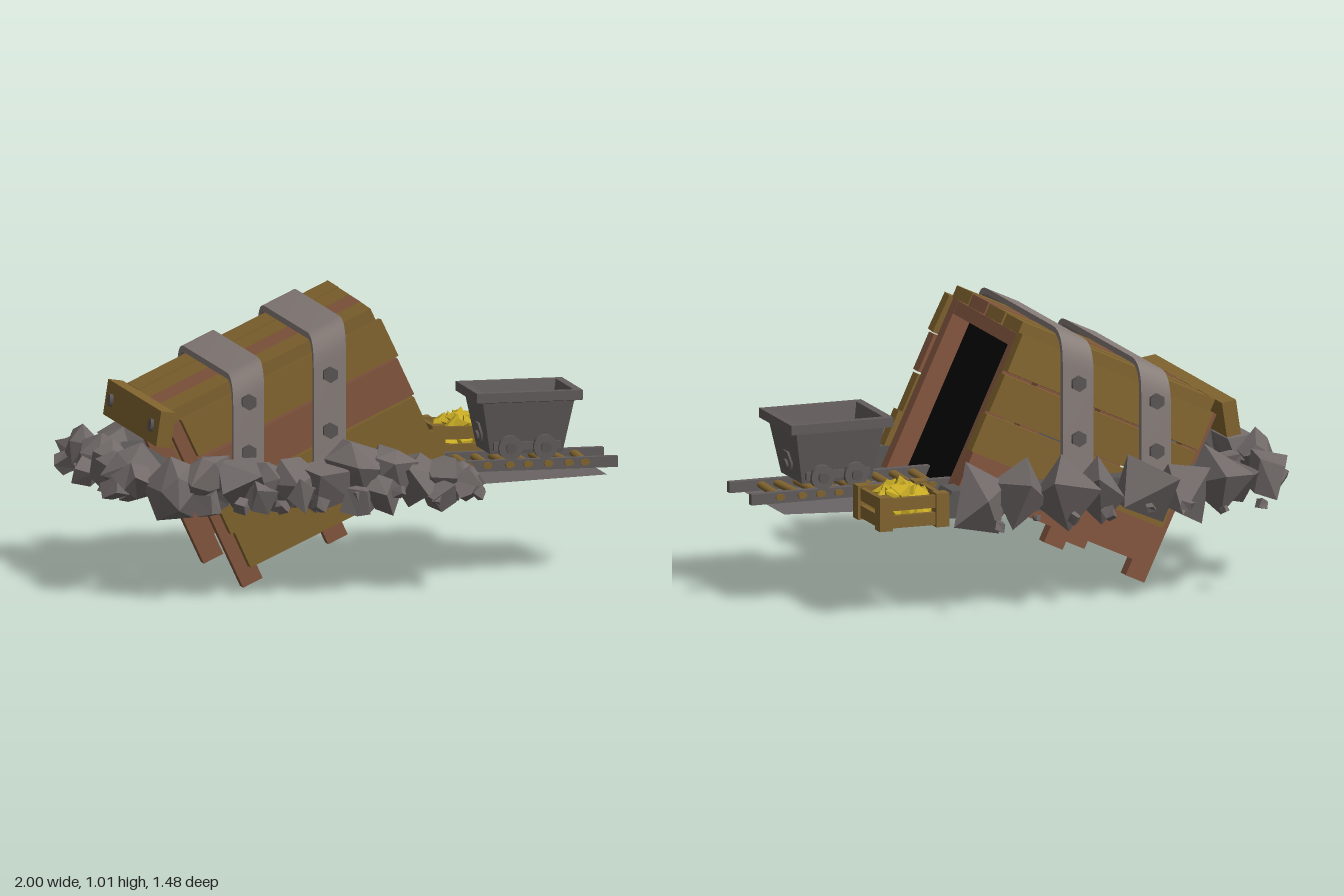
import * as THREE from 'three';
import { toCreasedNormals } from 'three/addons/utils/BufferGeometryUtils.js';

const mat = (name, color, side = THREE.FrontSide) => {
  const m = new THREE.MeshStandardMaterial({ color, side });
  m.name = name;
  return m;
};

export function createModel() {
  const M = {
    oak: mat('golden wood', 0x826530),
    red: mat('reddish wood', 0x85573f),
    strap: mat('strap metal', 0x887e7a),
    bolt: mat('bolt metal', 0x5c5656),
    iron: mat('cart iron', 0x625c5c),
    rock: mat('rock', 0x716a69),
    base: mat('ground stone', 0x6a6465, THREE.DoubleSide),
    curb: mat('dark stone', 0x5a5656),
    gold: mat('gold ore', 0xc9ac24),
    dark: mat('darkness', 0x050505, THREE.DoubleSide),
  };
  let seed = 7;
  const rnd = () => (seed = (seed * 16807) % 2147483647) / 2147483647;
  const jit = (a) => (rnd() - 0.5) * 2 * a;
  const CZ = 0.03; // centre line of shaft, rails and cart

  const model = new THREE.Group();
  model.name = 'mineEntrance';
  const add = (parent, name, geo, m, x = 0, y = 0, z = 0) => {
    const o = new THREE.Mesh(geo, m);
    o.name = name;
    o.position.set(x, y, z);
    parent.add(o);
    return o;
  };
  const box = (parent, name, m, w, h, d, x, y, z) =>
    add(parent, name, new THREE.BoxGeometry(w, h, d), m, x, y, z);
  const group = (name, x, y, z) => {
    const g = new THREE.Group();
    g.name = name;
    g.position.set(x, y, z);
    model.add(g);
    return g;
  };
  // Irregular faceted lump: solid is nudged at each shared corner, then turned
  const lump = (parent, name, m, solid, r, x, y, z, tilt = 1.5) => {
    const g = solid.index ? solid.toNonIndexed() : solid;
    const p = g.attributes.position, moved = {};
    for (let i = 0; i < p.count; i++) {
      const v = new THREE.Vector3().fromBufferAttribute(p, i);
      const k = v.toArray().map((c) => Math.round(c * 1000)).join();
      moved[k] ??= [jit(r * 0.24), jit(r * 0.24), jit(r * 0.24)];
      p.setXYZ(i, v.x + moved[k][0], v.y + moved[k][1], v.z + moved[k][2]);
    }
    g.rotateX(jit(tilt)).rotateZ(jit(tilt)).rotateY(jit(3));
    g.computeVertexNormals();
    return add(parent, name, g, m, x, y, z);
  };

  // Tilted shaft: local origin is the top front edge
  const shaft = group('shaft', 0.03, 1.01, CZ);
  shaft.rotation.z = THREE.MathUtils.degToRad(25);
  for (const u of [-0.05, -0.47, -0.82]) {
    for (const s of [1, -1]) box(shaft, 'post', M.red, 0.08, 0.665, 0.05, u, -0.3825, s * 0.3);
    box(shaft, 'lintel', M.red, 0.078, 0.05, 0.55, u, -0.076, 0);
  }
  const roofZ = [0.25, 0.085, -0.085, -0.265];
  roofZ.forEach((z, i) => {
    const o = box(shaft, 'roofPlank', i === 1 ? M.red : M.oak, 0.825, 0.047, 0.155, -0.412 + jit(0.006), -0.025, z);
    o.rotation.set(jit(0.03), jit(0.01), 0);
  });
  const wallV = [-0.118, -0.275, -0.43, -0.575];
  for (const s of [1, -1]) wallV.forEach((v, i) => {
    const m = i === (s > 0 ? 1 : 3) ? M.red : M.oak;
    const o = box(shaft, 'wallPlank', m, 0.82, 0.147, 0.05, -0.41 + jit(0.008), v, s * 0.362);
    o.rotation.set(i === 0 ? -s * 0.07 : jit(0.02), 0, jit(0.008));
  });
  const darkness = add(shaft, 'darkOpening', new THREE.PlaneGeometry(0.56, 0.65), M.dark, -0.085, -0.41, 0);
  darkness.rotation.y = Math.PI / 2;

  // Board across the rear with two bolts
  const rear = group('rearBoard', -0.755, 0.6, CZ);
  rear.rotation.z = -0.15;
  box(rear, 'board', M.oak, 0.055, 0.13, 0.81, 0, 0, 0);
  for (const z of [-0.31, 0.31]) {
    const b = add(rear, 'bolt', new THREE.CylinderGeometry(0.025, 0.025, 0.02, 6), M.bolt, -0.03, 0, z);
    b.rotation.z = Math.PI / 2;
  }

  // Metal straps bent over the roof, sheared to its slope
  const strap = (x0, x1, topY, bolts) => {
    const w = x1 - x0, low = 0.38 - topY, s = new THREE.Shape();
    s.moveTo(0.43, low).lineTo(0.43, -0.12);
    s.bezierCurveTo(0.43, -0.04, 0.4, 0, 0.33, 0).lineTo(-0.33, 0);
    s.bezierCurveTo(-0.4, 0, -0.43, -0.04, -0.43, -0.12).lineTo(-0.43, low);
    s.lineTo(-0.408, low).lineTo(-0.408, -0.12);
    s.bezierCurveTo(-0.408, -0.05, -0.385, -0.022, -0.33, -0.022).lineTo(0.33, -0.022);
    s.bezierCurveTo(0.385, -0.022, 0.408, -0.05, 0.408, -0.12).lineTo(0.408, low);
    const g = new THREE.ExtrudeGeometry(s, { depth: w, bevelEnabled: false, curveSegments: 8 });
    g.translate(0, 0, -w / 2).rotateY(Math.PI / 2);
    const p = g.attributes.position;
    for (let i = 0; i < p.count; i++) if (p.getY(i) > low + 0.01) p.setY(i, p.getY(i) + p.getX(i) * 0.466);
    const x = (x0 + x1) / 2;
    add(model, 'strap', toCreasedNormals(g, 0.6), M.strap, x, topY, CZ);
    for (const y of bolts) for (const side of [1, -1]) {
      const b = add(model, 'strapBolt', new THREE.CylinderGeometry(0.03, 0.03, 0.02, 6), M.bolt, x, y, CZ + side * 0.435);
      b.rotation.x = Math.PI / 2;
    }
  };
  strap(-0.51, -0.395, 0.817, [0.695, 0.51]);
  strap(-0.21, -0.09, 0.955, [0.785, 0.58]);

  // Stone curb around the shaft, with sloping front ends
  const shape = (pts) => new THREE.Shape(pts.map((q) => new THREE.Vector2(...q)));
  const curb = shape([[-0.74, 0.33], [0.41, 0.33], [0.35, 0.43], [-0.74, 0.43]]);
  for (const z of [0.36, -0.43])
    add(model, 'curb', new THREE.ExtrudeGeometry(curb, { depth: 0.12, bevelEnabled: false }), M.curb, 0, 0, z);
  box(model, 'rearCurb', M.curb, 0.09, 0.1, 0.67, -0.695, 0.38, 0.025);

  // Thin sheet of ground before the opening, rising slightly outwards
  const apron = shape([[0.24, -0.35], [0.4, -0.35], [0.93, -0.27], [0.93, 0.24], [0.35, 0.31], [0.24, 0.31]]);
  const sheet = add(model, 'apron', new THREE.ShapeGeometry(apron).rotateX(-Math.PI / 2), M.base, 0, 0.338, 0);
  sheet.rotation.z = 0.015;

  // Track with rounded sleepers poking through the rails
  for (const s of [1, -1]) box(model, 'rail', M.iron, 0.79, 0.04, 0.028, 0.605, 0.38, CZ + s * 0.11);
  for (let i = 0; i < 9; i++) {
    const g = new THREE.CylinderGeometry(0.018, 0.018, 0.265, 8).rotateX(Math.PI / 2).scale(1, 0.7, 1);
    add(model, 'sleeper', g, M.oak, 0.295 + i * 0.0735, 0.383, CZ).rotation.y = jit(0.06);
  }

  // Cart: tub lofted through rectangles [half x, half z, y]
  const rings = [[0.135, 0.105, 0.42], [0.17, 0.14, 0.612], [0.198, 0.163, 0.617], [0.198, 0.163, 0.652],
    [0.168, 0.133, 0.652], [0.13, 0.08, 0.48]];
  const corner = ([a, b, y], i) => [[a, y, b], [a, y, -b], [-a, y, -b], [-a, y, b]][i % 4];
  const pos = [];
  const quad = (...q) => [0, 1, 2, 0, 2, 3].forEach((k) => pos.push(...q[k]));
  for (let r = 0; r < rings.length - 1; r++) for (let i = 0; i < 4; i++)
    quad(corner(rings[r], i), corner(rings[r], i + 1), corner(rings[r + 1], i + 1), corner(rings[r + 1], i));
  const end = rings[rings.length - 1];
  quad(...[0, 1, 2, 3].map((i) => corner(end, i)));
  quad(...[3, 2, 1, 0].map((i) => corner(rings[0], i)));
  const tub = new THREE.BufferGeometry();
  tub.setAttribute('position', new THREE.Float32BufferAttribute(pos, 3));
  tub.computeVertexNormals();
  const cart = group('cart', 0.662, 0, CZ);
  add(cart, 'tub', tub, M.iron);
  for (const s of [1, -1]) {
    box(cart, 'axleBeam', M.iron, 0.25, 0.03, 0.025, 0, 0.45, s * 0.11);
    for (const x of [-0.065, 0.065]) {
      const wheel = add(cart, 'wheel', new THREE.CylinderGeometry(0.045, 0.045, 0.025, 16), M.iron, x, 0.445, s * 0.125);
      const hub = add(cart, 'hub', new THREE.CylinderGeometry(0.02, 0.02, 0.014, 10), M.bolt, x, 0.445, s * 0.142);
      wheel.rotation.x = hub.rotation.x = Math.PI / 2;
    }
    const plate = add(cart, 'endPlate', new THREE.CylinderGeometry(0.045, 0.045, 0.01, 6), M.iron, s * 0.15, 0.485, 0);
    const stud = add(cart, 'endStud', new THREE.CylinderGeometry(0.02, 0.02, 0.02, 8), M.bolt, s * 0.153, 0.475, 0);
    plate.rotation.z = stud.rotation.z = Math.PI / 2 - s * 0.16;
  }

  // Crate heaped with gold
  const crate = group('crate', 0.555, 0.4, -0.445);
  for (const a of [1, -1]) {
    for (const b of [1, -1]) box(crate, 'cratePost', M.oak, 0.05, 0.125, 0.05, a * 0.11, 0, b * 0.11);
    for (const y of [-0.032, 0.032]) {
      box(crate, 'crateSlat', M.oak, 0.2, 0.046, 0.02, 0, y, a * 0.115);
      box(crate, 'crateSlat', M.oak, 0.02, 0.046, 0.2, a * 0.115, y, 0);
    }
  }
  for (let i = 0; i < 22; i++) {
    const a = i * 2.4, r = 0.018 * Math.sqrt(i), size = 0.038 + rnd() * 0.012;
    lump(crate, 'nugget', M.gold, new THREE.OctahedronGeometry(size), size,
      r * Math.cos(a), 0.07 - r * 0.5 + jit(0.015), r * Math.sin(a));
  }
  for (let i = 0; i < 9; i++)
    lump(crate, 'nugget', M.gold, new THREE.IcosahedronGeometry(0.04), 0.04,
      ((i % 3) - 1) * 0.06, -0.015, (Math.floor(i / 3) - 1) * 0.06);

  // Rubble rows as [x, z, radius]
  const rocks = group('rubble', 0, 0, 0);
  const boulders = [[-0.62, -0.55, 0.12], [-0.5, -0.57, 0.14], [-0.33, -0.56, 0.14], [-0.17, -0.56, 0.13],
    [-0.03, -0.6, 0.14], [0.12, -0.54, 0.13], [0.27, -0.53, 0.13], [-0.74, -0.44, 0.1]];
  for (const [x, z, r] of boulders)
    lump(rocks, 'boulder', M.rock, new THREE.OctahedronGeometry(r), r, x, 0.41 + jit(0.015), z, 0.5);
  const stones = [[-0.87, -0.43, 0.085], [-0.9, -0.27, 0.07], [-0.88, -0.1, 0.09], [-0.87, 0.11, 0.09],
    [-0.9, 0.27, 0.075], [-0.86, 0.37, 0.1], [-0.89, 0.48, 0.07], [-0.74, 0.55, 0.105], [-0.63, 0.55, 0.095],
    [-0.52, 0.6, 0.09], [-0.42, 0.55, 0.1], [-0.3, 0.58, 0.095], [-0.2, 0.58, 0.1], [-0.08, 0.57, 0.1],
    [0.05, 0.56, 0.1], [0.14, 0.57, 0.09], [0.25, 0.55, 0.09], [0.34, 0.54, 0.075]];
  stones.forEach(([x, z, r], i) => {
    const solid = i % 3 ? new THREE.IcosahedronGeometry(r) : new THREE.BoxGeometry(r * 1.4, r * 1.4, r * 1.4);
    lump(rocks, 'stone', M.rock, solid, r, x, 0.425 + jit(0.03), z);
  });
  const chunks = [[-0.94, 0.0, 0.05], [-0.94, 0.42, 0.05], [-0.8, -0.19, 0.06], [-0.82, 0.0, 0.06], [-0.93, -0.37, 0.04],
    [-0.83, 0.23, 0.06], [-0.66, 0.68, 0.05], [-0.46, 0.68, 0.055], [-0.3, 0.66, 0.055], [-0.1, 0.65, 0.06],
    [0.01, 0.64, 0.06], [0.22, 0.63, 0.055], [0.32, 0.61, 0.06], [-0.56, 0.5, 0.07], [-0.35, 0.5, 0.07], [-0.02, 0.5, 0.07]];
  for (const [x, z, r] of chunks)
    lump(rocks, 'chunk', M.rock, new THREE.BoxGeometry(r * 1.5, r * 1.3, r * 1.5), r, x, 0.37 + jit(0.02), z);
  for (let i = 0; i < 16; i++) {
    const r = 0.013 + rnd() * 0.016, s = i % 2 ? 1 : -1;
    lump(rocks, 'pebble', M.rock, new THREE.BoxGeometry(r * 1.5, r * 1.5, r * 1.5), r,
      -0.75 + i * 0.073, 0.36 + jit(0.02), s * 0.69 + jit(0.025));
  }
  return model;
}
